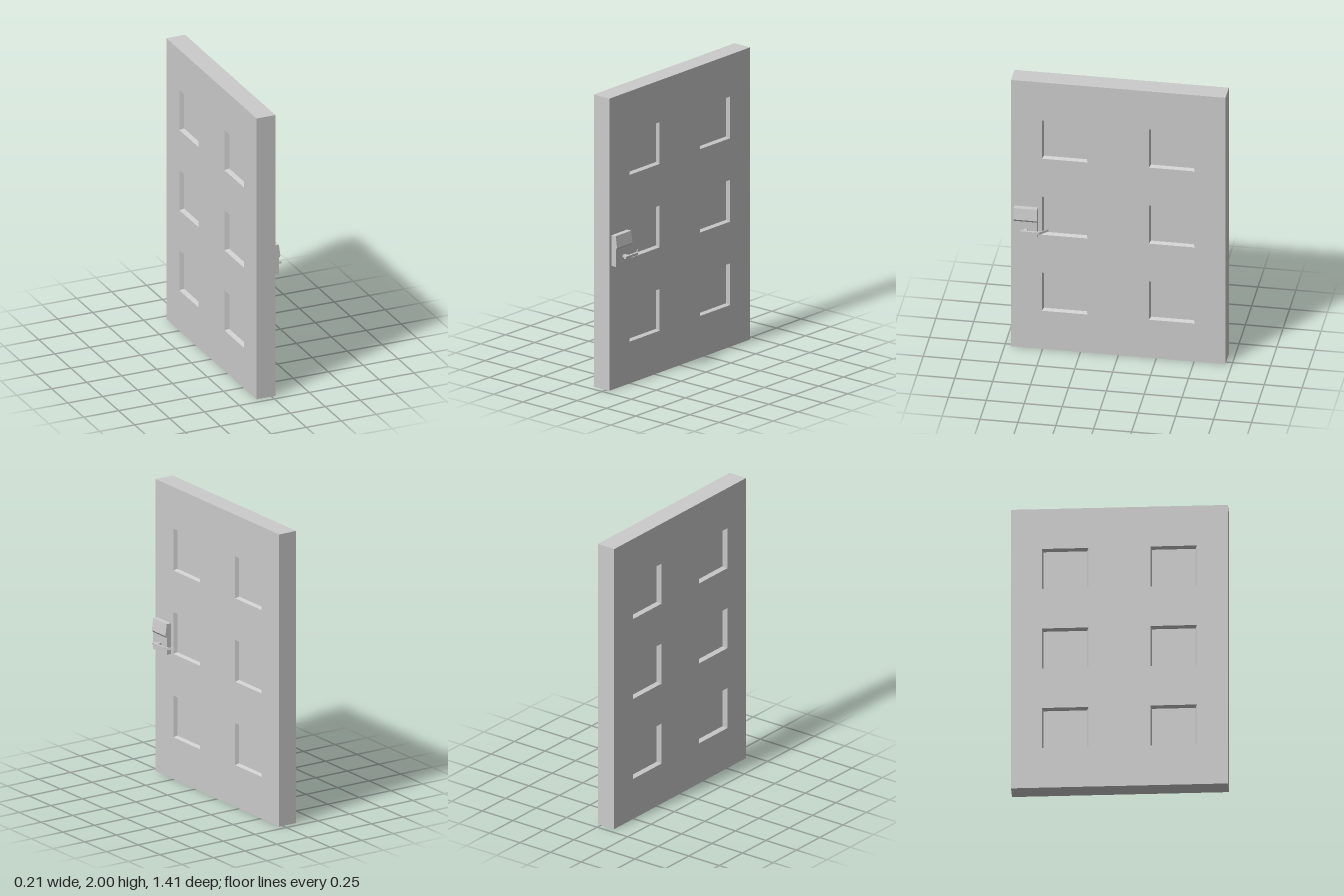
import * as THREE from 'three';

const material = new THREE.MeshStandardMaterial({ color: 0xcccccc, flatShading: true });
const W = 1.414, H = 2, BACK = -0.107, FRONT = 0.027;
const PANEL_W = 0.303, PANEL_H = 0.286, INSET = 0.01;

function add(parent, name, geometry) {
  const mesh = new THREE.Mesh(geometry, material);
  mesh.name = name;
  parent.add(mesh);
  return mesh;
}

// Four rectangle corners, counter-clockwise seen from +z
function rect(cx, cy, w, h, z) {
  return [[-1, -1], [1, -1], [1, 1], [-1, 1]]
    .map(([i, j]) => new THREE.Vector3(cx + i * w / 2, cy + j * h / 2, z));
}

function quads(list) {
  const points = list.flatMap(([a, b, c, d]) => [a, b, c, a, c, d]);
  const geometry = new THREE.BufferGeometry().setFromPoints(points);
  geometry.computeVertexNormals();
  return geometry;
}

// Walls joining one rectangle to the next
function walls(from, to) {
  return from.map((p, i) => [p, from[(i + 1) % 4], to[(i + 1) % 4], to[i]]);
}

// One broad side of the door, with six recessed panels with sloped walls
function panelledSide(name, depth) {
  const side = new THREE.Group();
  side.name = name;
  const outline = (points) => points.map((p) => new THREE.Vector2(p.x, p.y));
  const face = new THREE.Shape(outline(rect(0, H / 2, W, H, 0)));
  for (const x of [-0.3535, 0.3535]) {
    for (const y of [0.429, 1, 1.571]) {
      const rim = rect(x, y, PANEL_W, PANEL_H, 0);
      const floor = rect(x, y, PANEL_W - 2 * INSET, PANEL_H - 2 * INSET, -depth);
      face.holes.push(new THREE.Path(outline(rim).reverse()));
      add(side, 'recessedPanel', quads([...walls(rim, floor), floor]));
    }
  }
  add(side, 'doorFace', new THREE.ShapeGeometry(face));
  return side;
}

// Extruded polygon
function prism(points, depth) {
  const shape = new THREE.Shape(points.map(([x, y]) => new THREE.Vector2(x, y)));
  return new THREE.ExtrudeGeometry(shape, { depth, bevelEnabled: false });
}

export function createModel() {
  const model = new THREE.Group();
  model.name = 'door';

  // Door slab
  const handleSide = panelledSide('handleSide', 0.025);
  handleSide.rotation.y = Math.PI / 2;
  handleSide.position.x = FRONT;
  const plainSide = panelledSide('plainSide', 0.03);
  plainSide.rotation.y = -Math.PI / 2;
  plainSide.position.x = BACK;
  model.add(handleSide, plainSide);
  const edges = walls(rect(0, H / 2, W, H, BACK), rect(0, H / 2, W, H, FRONT));
  add(model, 'doorEdges', quads(edges)).rotation.y = Math.PI / 2;

  // Lock housing: sloped upper half overhanging a flat lower half
  const housing = prism([
    [FRONT, 0.85], [0.062, 0.85], [0.062, 0.965],
    [0.073, 0.98], [0.062, 1.06], [FRONT, 1.06],
  ], 0.155);
  add(model, 'lockHousing', housing.translate(0, 0, 0.53));

  // Lever handle with a bent, tapering tip, drawn in plan as x and -z
  const handle = new THREE.Group();
  handle.name = 'handle';
  model.add(handle);
  const lever = prism([
    [0.09, -0.634], [0.105, -0.634], [0.105, -0.514], [0.052, -0.457], [0.09, -0.511],
  ], 0.016);
  add(handle, 'lever', lever.rotateX(-Math.PI / 2).translate(0, 0.899, 0));
  const stem = new THREE.BoxGeometry(0.034, 0.016, 0.025);
  add(handle, 'leverStem', stem.translate(0.075, 0.907, 0.604));

  return model;
}
